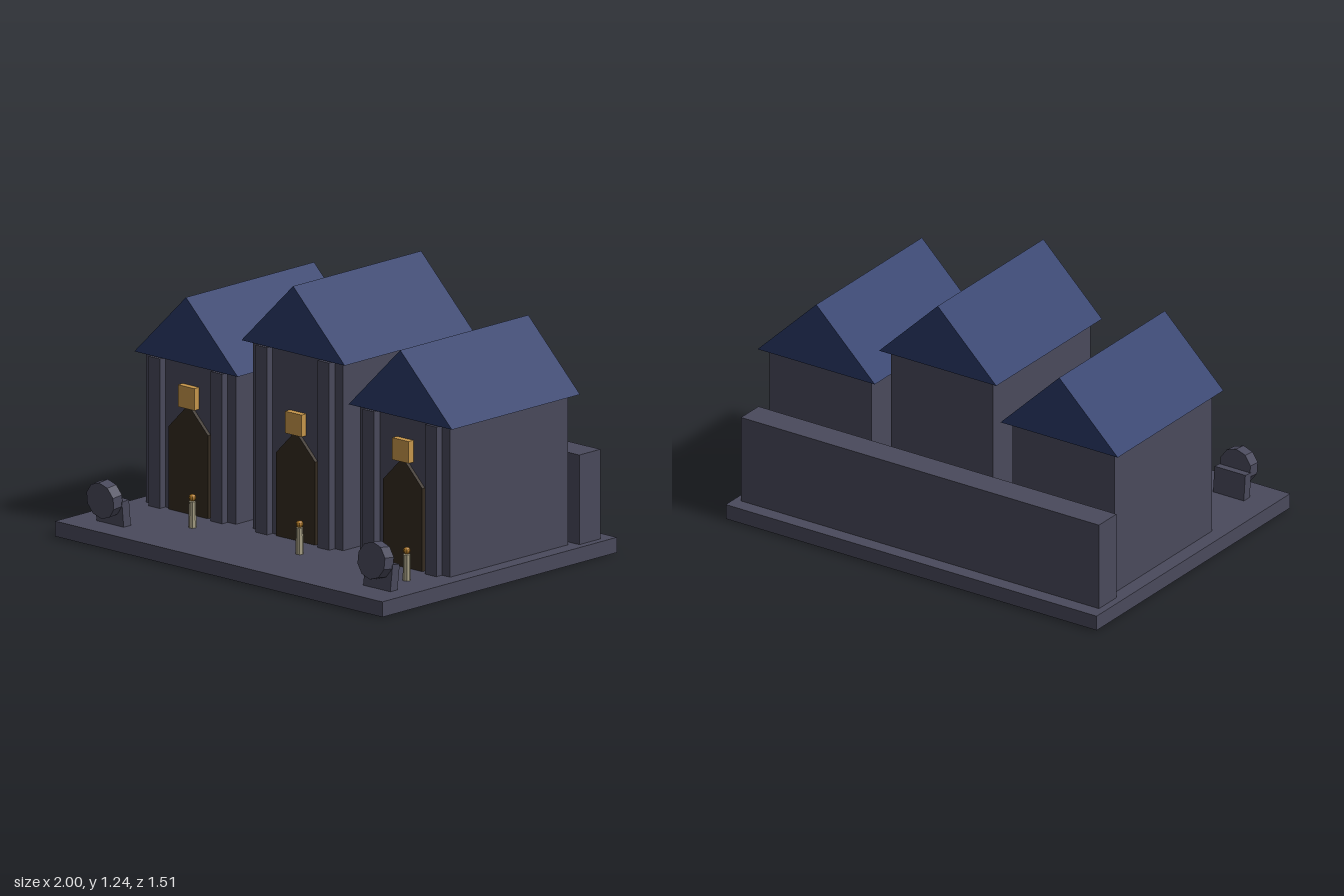
import * as THREE from 'three';

export function createModel() {
  const model = new THREE.Group();
  model.name = 'tripleHall';

  const mat = (name, color) => {
    const m = new THREE.MeshStandardMaterial({ color });
    m.name = name;
    return m;
  };
  const stone = mat('stone', 0x4a4a5c);
  const roofBlue = mat('roofBlue', 0x2a3a6a);
  const doorBrown = mat('doorBrown', 0x352b20);
  const signGold = mat('signGold', 0xc8984c);
  const wax = mat('wax', 0xb0a88c);
  const flame = mat('flame', 0xb07a28);

  const add = (parent, name, geo, material, x = 0, y = 0, z = 0) => {
    const mesh = new THREE.Mesh(geo, material);
    mesh.name = name;
    mesh.position.set(x, y, z);
    parent.add(mesh);
    return mesh;
  };
  const box = (parent, name, material, x0, x1, y0, y1, z0, z1) =>
    add(parent, name, new THREE.BoxGeometry(x1 - x0, y1 - y0, z1 - z0), material,
      (x0 + x1) / 2, (y0 + y1) / 2, (z0 + z1) / 2);
  // Extrude an outline of [x, y] points from z0 to z1
  const slab = (parent, name, material, points, z0, z1) => {
    const shape = new THREE.Shape(points.map(([x, y]) => new THREE.Vector2(x, y)));
    const geo = new THREE.ExtrudeGeometry(shape, { depth: z1 - z0, bevelEnabled: false });
    return add(parent, name, geo, material, 0, 0, z0);
  };

  // Ground slab and rear wall
  const G = 0.07;
  box(model, 'base', stone, -1, 1, 0, G, -0.757, 0.757);
  box(model, 'backWall', stone, -0.965, 0.965, G, 0.482, -0.688, -0.552);

  // Three gabled halls, the middle one taller
  const halls = [[-0.655, 0.762], [0, 0.935], [0.655, 0.762]];
  for (const [x, top] of halls) {
    const hall = new THREE.Group();
    hall.name = 'hall';
    hall.position.x = x;
    model.add(hall);
    box(hall, 'walls', stone, -0.275, 0.275, G, top, -0.515, 0.245);
    for (const s of [-1, 1])
      box(hall, 'pilaster', stone, s * 0.19 - 0.035, s * 0.19 + 0.035, G, top - 0.004, 0.23, 0.282);
    slab(hall, 'roof', roofBlue, [[-0.316, top], [0.316, top], [0, top + 0.307]], -0.55, 0.277);
    slab(hall, 'door', doorBrown,
      [[-0.12, G], [0.12, G], [0.12, 0.452], [0.012, 0.56], [-0.012, 0.56], [-0.12, 0.452]], 0.24, 0.262);
    box(hall, 'sign', signGold, -0.05, 0.05, 0.557, 0.658, 0.24, 0.276);

    // Candle post beside the door
    const post = new THREE.Group();
    post.name = 'candlePost';
    post.position.set(0.17, 0, 0.415);
    hall.add(post);
    add(post, 'candle', new THREE.CylinderGeometry(0.016, 0.018, 0.12, 8).toNonIndexed(), wax, 0, 0.13, 0)
      .geometry.computeVertexNormals();
    const ball = new THREE.SphereGeometry(0.017, 8, 6).toNonIndexed();
    ball.computeVertexNormals();
    add(post, 'candleFlame', ball, flame, 0, 0.207, 0);
  }

  // Leaning grave markers with a round head
  for (const [x, tilt] of [[-0.79, 0.1], [0.825, -0.125]]) {
    const marker = new THREE.Group();
    marker.name = 'graveMarker';
    marker.position.set(x, 0, 0.594);
    marker.rotation.x = tilt;
    model.add(marker);
    box(marker, 'markerSlab', stone, -0.083, 0.083, 0.002, 0.19, -0.023, 0.023);
    const disc = new THREE.CylinderGeometry(0.085, 0.085, 0.058, 10).toNonIndexed();
    disc.computeVertexNormals();
    disc.rotateX(Math.PI / 2);
    add(marker, 'markerHead', disc, stone, 0, 0.197, 0.046);
  }

  return model;
}
